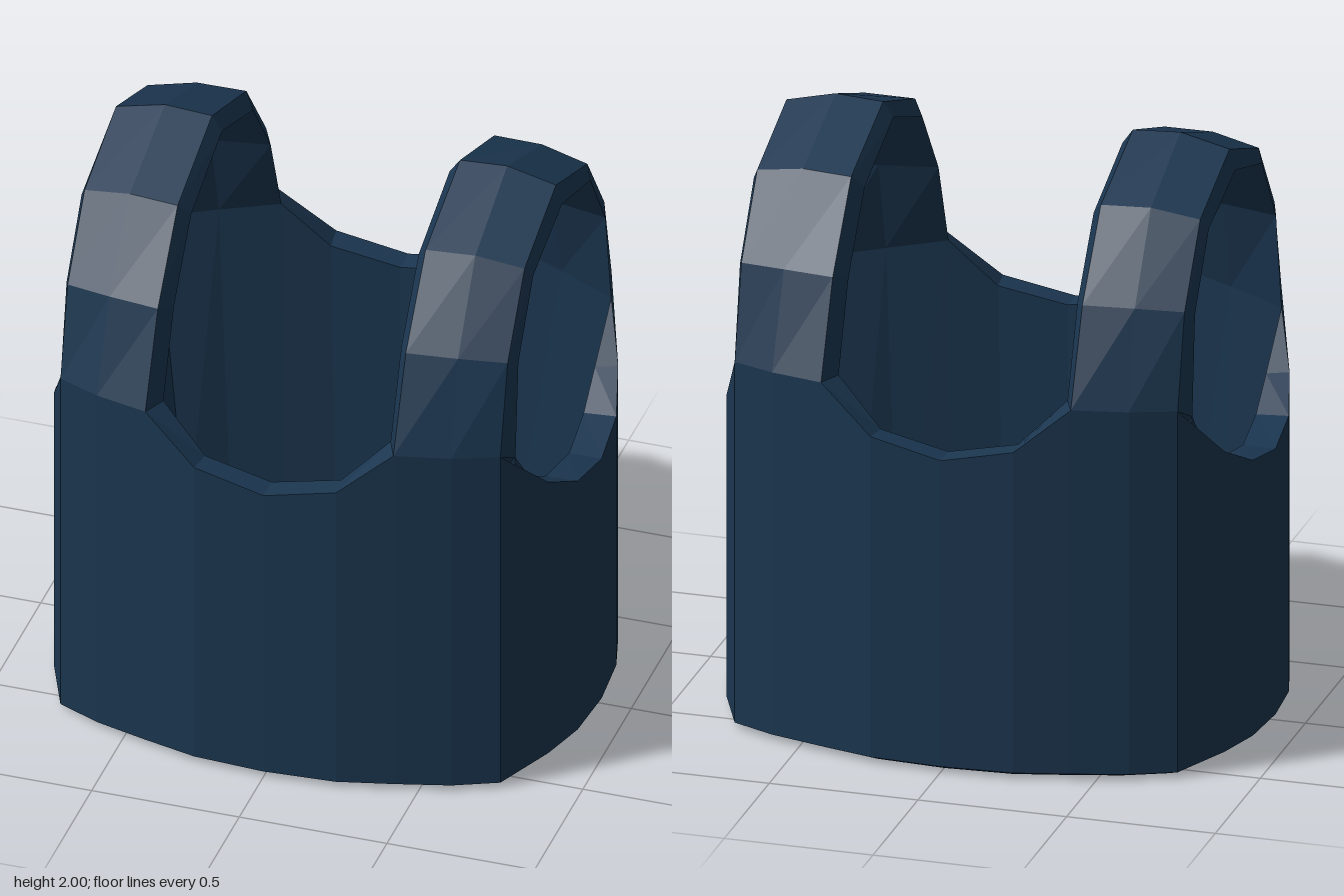
import * as THREE from 'three';

const V = (x, y, z) => new THREE.Vector3(x, y, z);

// Collects quads (corners counter-clockwise from outside) into a faceted mesh
function quadMesh(name, quads, material) {
  const pos = [];
  for (const [a, b, c, d] of quads)
    for (const p of [a, b, c, a, c, d]) pos.push(p.x, p.y, p.z);
  const geo = new THREE.BufferGeometry();
  geo.setAttribute('position', new THREE.Float32BufferAttribute(pos, 3));
  geo.computeVertexNormals();
  const mesh = new THREE.Mesh(geo, material);
  mesh.name = name;
  return mesh;
}

// One quarter of the garment, centre front to side: outer top edge, inner top edge
const columns = [
  [V(0, 1.08, 0.75), V(0, 1.08, 0.665)],
  [V(0.24, 1.13, 0.735), V(0.23, 1.125, 0.65)],
  [V(0.42, 1.28, 0.69), V(0.385, 1.28, 0.61)],
  [V(0.6, 1.275, 0.64), V(0.58, 1.25, 0.56)],
  [V(0.745, 1.27, 0.575), V(0.77, 1.225, 0.495)],
  [V(0.838, 1.06, 0.36), V(0.765, 1.055, 0.34)],
  [V(0.884, 0.975, 0.2), V(0.775, 0.97, 0.195)],
  [V(0.9, 0.94, 0), V(0.79, 0.94, 0)],
];
const isStrap = c => c >= 2 && c <= 4;

// Strap cross-sections from base to shoulder top:
// outer neck, outer middle, outer arm, inner arm, inner middle, inner neck
const strapHalf = [
  [...columns.slice(2, 5).map(c => c[0]), ...columns.slice(2, 5).map(c => c[1]).reverse()],
  [V(0.42, 1.595, 0.56), V(0.59, 1.595, 0.54), V(0.745, 1.585, 0.5),
    V(0.765, 1.56, 0.45), V(0.58, 1.57, 0.475), V(0.385, 1.575, 0.5)],
  [V(0.42, 1.865, 0.355), V(0.585, 1.87, 0.345), V(0.745, 1.84, 0.325),
    V(0.765, 1.8, 0.295), V(0.58, 1.815, 0.31), V(0.385, 1.82, 0.32)],
  [V(0.42, 1.99, 0), V(0.58, 2, 0), V(0.745, 1.96, 0),
    V(0.765, 1.89, 0), V(0.58, 1.93, 0), V(0.385, 1.94, 0)],
];

export function createModel() {
  const group = new THREE.Group();
  group.name = 'vest';
  const material = new THREE.MeshStandardMaterial({
    color: 0x1b3650, flatShading: true, side: THREE.DoubleSide,
  });

  // Body: wall profiles (outside, bevelled hem, inside) mirrored round the ring
  const ring = [];
  for (let i = 0; i < 28; i++) {
    const m = i % 14, c = m <= 7 ? m : 14 - m;
    const s = V(i <= 14 ? 1 : -1, 1, i <= 7 || i >= 21 ? 1 : -1);
    const [o, n] = columns[c];
    const profile = [
      o, V(o.x, 0.02, o.z), V(o.x * 0.945, 0, o.z * 0.945),
      V(o.x * 0.905, 0.02, o.z * 0.905), n,
    ].map(p => p.clone().multiply(s));
    ring.push({ c, profile });
  }
  const body = [];
  ring.forEach((cur, i) => {
    const next = ring[(i + 1) % ring.length];
    for (let p = 0; p < 5; p++) {
      // No rim where a strap grows out of the body
      if (p === 4 && isStrap(cur.c) && isStrap(next.c)) continue;
      const q = (p + 1) % 5;
      body.push([cur.profile[q], next.profile[q], next.profile[p], cur.profile[p]]);
    }
  });
  group.add(quadMesh('body', body, material));

  // Shoulder straps: sections run front base, over the shoulder, to back base
  const back = strapHalf.slice(0, 3).reverse()
    .map(sec => sec.map(p => V(p.x, p.y, -p.z)));
  const sections = [...strapHalf, ...back];
  for (const side of [1, -1]) {
    const quads = [];
    for (let k = 0; k < sections.length - 1; k++) {
      for (let j = 0; j < 6; j++) {
        const n = (j + 1) % 6;
        const quad = [sections[k][j], sections[k][n], sections[k + 1][n], sections[k + 1][j]]
          .map(p => V(p.x * side, p.y, p.z));
        quads.push(side > 0 ? quad : quad.reverse());
      }
    }
    group.add(quadMesh(side > 0 ? 'leftStrap' : 'rightStrap', quads, material));
  }
  return group;
}
